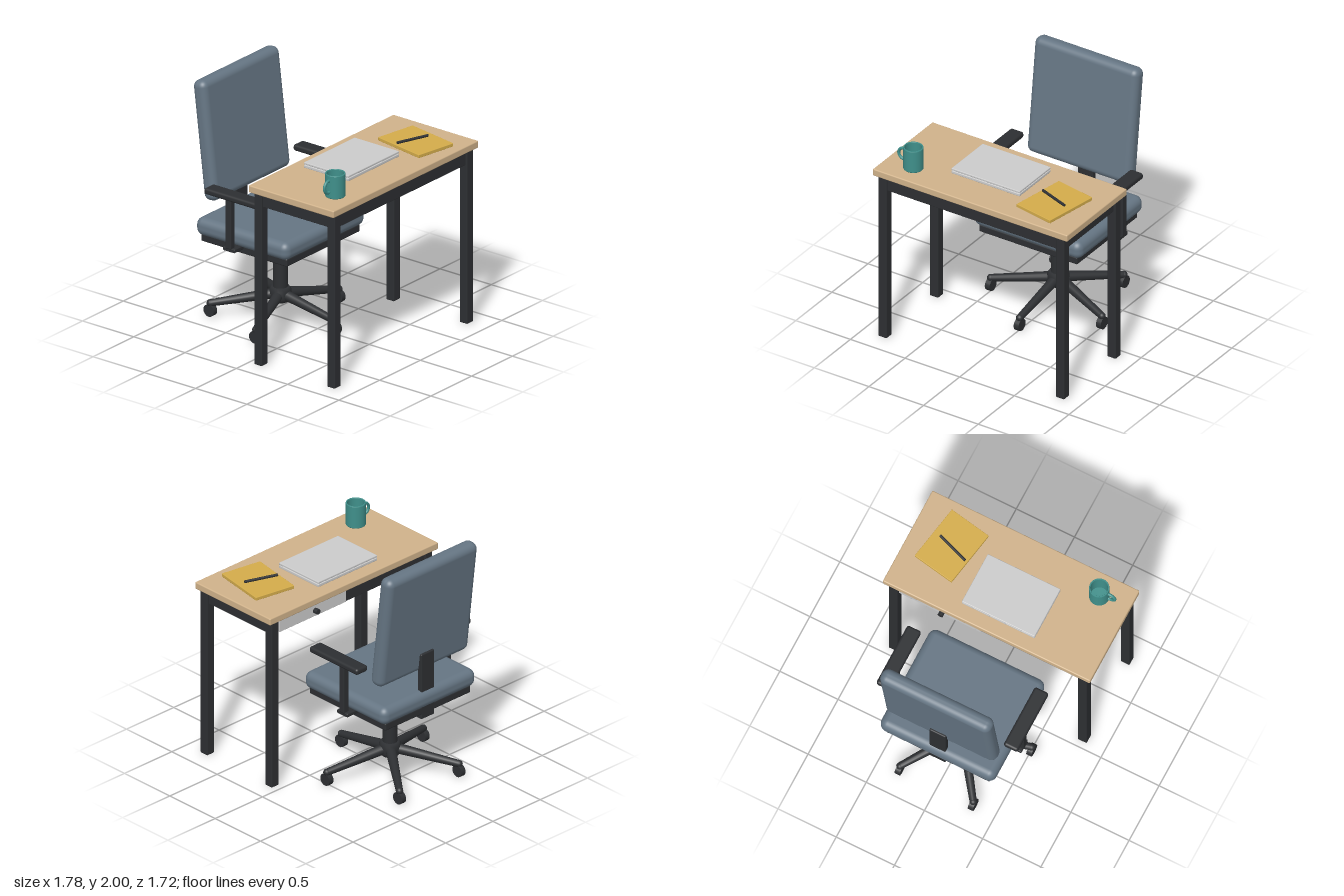
import * as THREE from 'three';
import { RoundedBoxGeometry } from 'three/addons/geometries/RoundedBoxGeometry.js';

const mat = (color, side = THREE.FrontSide) => new THREE.MeshStandardMaterial({ color, side });
const dark = mat(0x2d2f32);
const fabric = mat(0x657583);
const wood = mat(0xd0b28a);
const grey = mat(0xcccccc);
const steel = mat(0x8c8c8c);
const yellow = mat(0xd4ac4a);
const teal = mat(0x3f8f8a);

function add(parent, name, geometry, material, x = 0, y = 0, z = 0) {
  const mesh = new THREE.Mesh(geometry, material);
  mesh.name = name;
  mesh.position.set(x, y, z);
  parent.add(mesh);
  return mesh;
}

// Rounded box given by its min and max on each axis
function block(parent, name, material, [x0, x1], [y0, y1], [z0, z1], r = 0.008, seg = 2) {
  const g = new RoundedBoxGeometry(x1 - x0, y1 - y0, z1 - z0, seg, r);
  return add(parent, name, g, material, (x0 + x1) / 2, (y0 + y1) / 2, (z0 + z1) / 2);
}

// Round bar between two points
function bar(parent, name, material, a, b, ra, rb, sides = 16) {
  const dir = b.clone().sub(a);
  const mesh = add(parent, name, new THREE.CylinderGeometry(rb, ra, dir.length(), sides), material);
  mesh.position.copy(a).add(b).multiplyScalar(0.5);
  mesh.quaternion.setFromUnitVectors(new THREE.Vector3(0, 1, 0), dir.normalize());
  return mesh;
}

function makeDesk() {
  const desk = new THREE.Group();
  desk.name = 'desk';
  block(desk, 'deskTop', wood, [-0.89, 0.89], [1.43, 1.49], [0.03, 0.86], 0.01);
  for (const s of [-1, 1]) {
    const x = s * 0.8125;
    for (const z of [0.09, 0.803]) {
      block(desk, 'deskLeg', dark, [x - 0.038, x + 0.038], [0, 1.43], [z - 0.038, z + 0.038]);
    }
    block(desk, 'sideApron', dark, [x - 0.02, x + 0.02], [1.315, 1.432], [0.12, 0.77], 0.004);
  }
  block(desk, 'frontApron', dark, [-0.78, 0.78], [1.315, 1.432], [0.785, 0.825], 0.004);
  block(desk, 'backApron', dark, [-0.78, 0.05], [1.315, 1.432], [0.07, 0.11], 0.004);

  // Drawer opening toward the chair
  block(desk, 'drawerFront', grey, [0.06, 0.765], [1.32, 1.428], [0.055, 0.085], 0.005);
  block(desk, 'drawerBox', grey, [0.08, 0.745], [1.335, 1.425], [0.08, 0.64], 0.005);
  bar(desk, 'drawerKnob', dark, new THREE.Vector3(0.39, 1.37, 0.06), new THREE.Vector3(0.39, 1.37, 0.018), 0.022, 0.022, 20);
  return desk;
}

function makeDeskItems() {
  const items = new THREE.Group();
  items.name = 'deskItems';

  // Closed laptop
  block(items, 'laptopBase', grey, [-0.355, 0.27], [1.488, 1.513], [0.145, 0.58], 0.006);
  block(items, 'laptopLid', grey, [-0.355, 0.27], [1.516, 1.535], [0.145, 0.58], 0.006);
  block(items, 'laptopHinge', dark, [-0.33, 0.245], [1.51, 1.519], [0.16, 0.565], 0.002);

  // Notebook and pen
  const book = add(items, 'notebook', new RoundedBoxGeometry(0.353, 0.028, 0.47, 2, 0.004), yellow, 0.549, 1.503, 0.519);
  book.rotation.y = -0.174;
  bar(items, 'pen', dark, new THREE.Vector3(0.402, 1.527, 0.455), new THREE.Vector3(0.662, 1.527, 0.549), 0.011, 0.011, 12);

  // Mug
  const mug = new THREE.Group();
  mug.name = 'mug';
  mug.position.set(-0.637, 1.49, 0.677);
  items.add(mug);
  const profile = [[0, 0], [0.074, 0], [0.078, 0.005], [0.078, 0.185], [0.076, 0.19], [0.069, 0.19], [0.067, 0.185], [0.067, 0.016], [0, 0.014]];
  // Corners are doubled to keep the edges crisp
  const pts = profile.flatMap(([r, y]) => [new THREE.Vector2(r, y), new THREE.Vector2(r, y + 1e-5)]);
  add(mug, 'mugBody', new THREE.LatheGeometry(pts, 40), mat(0x3f8f8a, THREE.DoubleSide));
  const handle = add(mug, 'mugHandle', new THREE.TorusGeometry(0.048, 0.012, 12, 24, Math.PI * 1.2), teal, -0.086, 0.1, 0);
  handle.rotation.z = Math.PI * 0.4;
  return items;
}

function makeChair() {
  const chair = new THREE.Group();
  chair.name = 'chair';
  const cz = -0.365;

  // Cushions
  block(chair, 'seat', fabric, [-0.493, 0.493], [0.725, 0.872], [-0.815, 0.085], 0.06, 5);
  const back = add(chair, 'backrest', new RoundedBoxGeometry(0.95, 0.975, 0.128, 5, 0.055), fabric, 0, 1.51, -0.742);
  back.rotation.x = -0.12;

  // Under-seat frame and back support
  block(chair, 'seatPlate', dark, [-0.45, 0.45], [0.67, 0.735], [-0.785, 0.055], 0.012);
  block(chair, 'tiltMechanism', dark, [-0.175, 0.175], [0.58, 0.675], [-0.56, -0.17], 0.015);
  block(chair, 'backBracket', dark, [-0.07, 0.07], [0.628, 0.675], [-0.785, -0.54], 0.01);
  block(chair, 'backPost', dark, [-0.07, 0.07], [0.64, 1.19], [-0.785, -0.738], 0.01);

  // Armrests
  for (const s of [-1, 1]) {
    const arm = new THREE.Group();
    arm.name = s > 0 ? 'leftArmrest' : 'rightArmrest';
    chair.add(arm);
    const span = (a, b) => (s > 0 ? [a, b] : [-b, -a]);
    block(arm, 'armPad', dark, span(0.487, 0.607), [1.148, 1.2], [-0.632, -0.102], 0.02, 3);
    block(arm, 'armPost', dark, span(0.517, 0.57), [0.735, 1.16], [-0.45, -0.395], 0.008);
    block(arm, 'armBracket', dark, span(0.38, 0.563), [0.71, 0.742], [-0.48, -0.365], 0.008);
  }

  // Gas lift
  add(chair, 'gasPiston', new THREE.CylinderGeometry(0.04, 0.04, 0.14, 24), steel, 0, 0.53, cz);
  add(chair, 'gasSleeve', new THREE.CylinderGeometry(0.057, 0.057, 0.26, 24), dark, 0, 0.35, cz);
  const hub = [[0, 0.14], [0.065, 0.14], [0.085, 0.17], [0.085, 0.235], [0.07, 0.258], [0, 0.26]];
  add(chair, 'baseHub', new THREE.LatheGeometry(hub.map((p) => new THREE.Vector2(...p)), 24), dark, 0, 0, cz);

  // Five spokes with casters
  for (let i = 0; i < 5; i++) {
    const a = (i * 2 * Math.PI) / 5;
    const at = (r, y) => new THREE.Vector3(Math.sin(a) * r, y, cz + Math.cos(a) * r);
    bar(chair, 'baseSpoke', dark, at(0.04, 0.2), at(0.535, 0.108), 0.042, 0.028);
    const end = at(0.535, 0.108);
    add(chair, 'spokeEnd', new THREE.SphereGeometry(0.029, 16, 10), dark, end.x, end.y, end.z);
    bar(chair, 'casterStem', dark, at(0.535, 0.05), at(0.535, 0.11), 0.014, 0.014, 12);
    const wheel = add(chair, 'casterWheel', new THREE.CylinderGeometry(0.05, 0.05, 0.044, 20), dark, end.x, 0.05, end.z);
    wheel.rotation.z = Math.PI / 2;
  }
  return chair;
}

export function createModel() {
  const model = new THREE.Group();
  model.name = 'deskAndChair';
  model.add(makeDesk(), makeDeskItems(), makeChair());
  return model;
}
